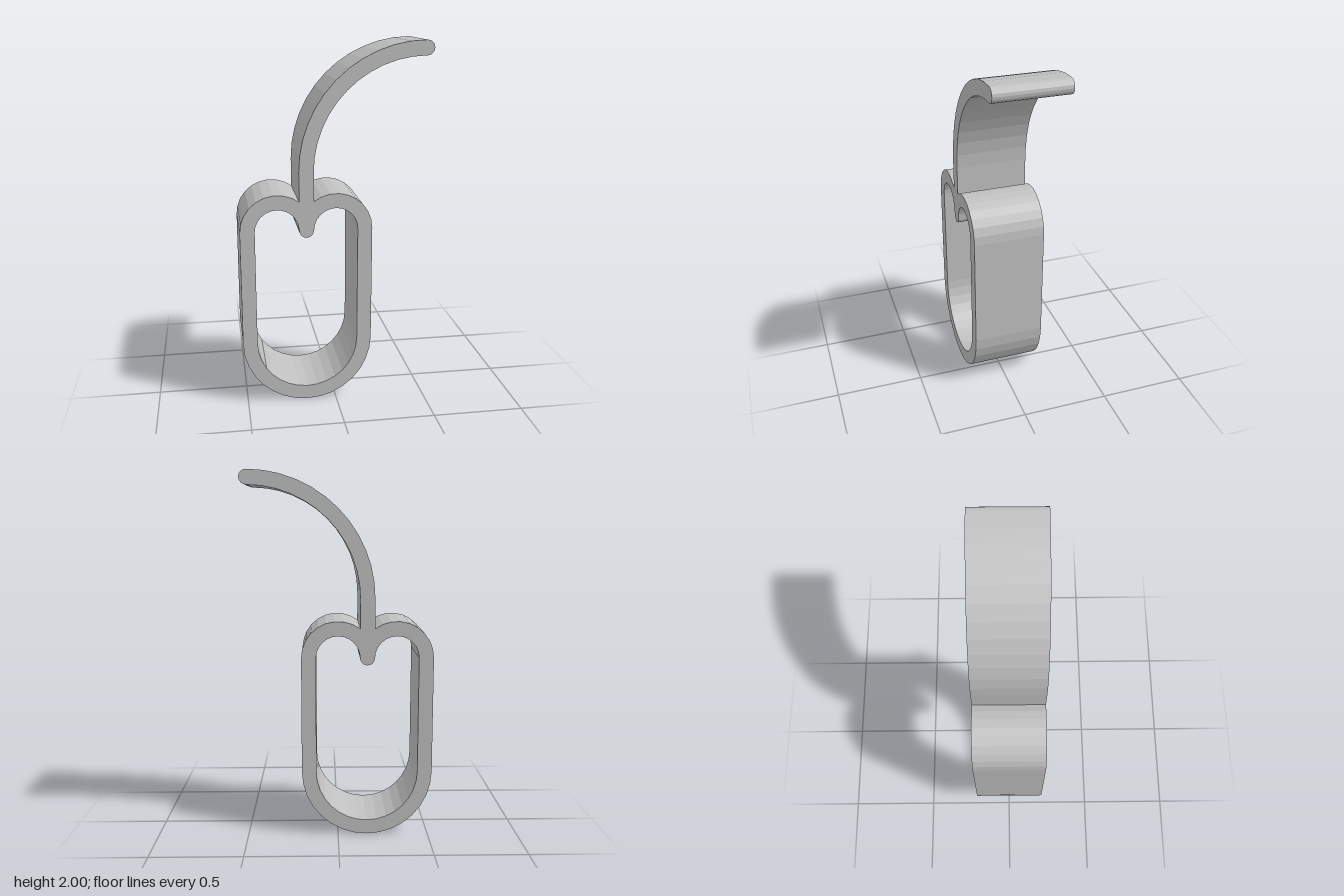
import * as THREE from 'three';

// Points along an arc, angles in degrees
function arc(cx, cy, r, from, to, steps) {
  const points = [];
  for (let i = 0; i <= steps; i++) {
    const a = THREE.MathUtils.degToRad(from + (to - from) * i / steps);
    points.push(new THREE.Vector2(cx + r * Math.cos(a), cy + r * Math.sin(a)));
  }
  return points;
}

export function createModel() {
  const model = new THREE.Group();
  const grey = new THREE.MeshStandardMaterial({ color: 0xc0c0c0 });
  grey.name = 'light grey';

  const mid = -0.16;      // centre line of the loop
  const half = 0.04;      // half the strip thickness
  const depth = 0.4;
  const meet = THREE.MathUtils.radToDeg(Math.acos(0.6)); // where a lobe meets the stem

  // Outside of the strip: right lobe, curved arm, left lobe, rounded bottom
  const outline = new THREE.Shape([
    ...arc(mid + 0.16, 1, 0.2, 0, 180 - meet, 9),
    ...arc(0.48, 1.32, 0.6, 180, 90, 12),
    ...arc(0.48, 1.96, half, -90, 90, 8).slice(1, -1),
    ...arc(0.48, 1.32, 0.68, 90, 180, 12),
    ...arc(mid - 0.16, 1, 0.2, meet, 180, 9),
    ...arc(mid, 0.36, 0.36, 180, 360, 16),
  ]);

  // Opening of the loop, with the rounded stem tip between the lobes
  outline.holes.push(new THREE.Path([
    ...arc(mid + 0.16, 1, 0.12, 0, 180, 12),
    ...arc(mid, 1, half, 0, -180, 8).slice(1, -1),
    ...arc(mid - 0.16, 1, 0.12, 0, 180, 12),
    ...arc(mid, 0.36, 0.28, 180, 360, 16),
  ]));

  const geometry = new THREE.ExtrudeGeometry(outline, { depth, bevelEnabled: false });
  geometry.translate(0, 0, -depth / 2);
  const strip = new THREE.Mesh(geometry, grey);
  strip.name = 'loopWithCurvedArm';
  model.add(strip);
  return model;
}
